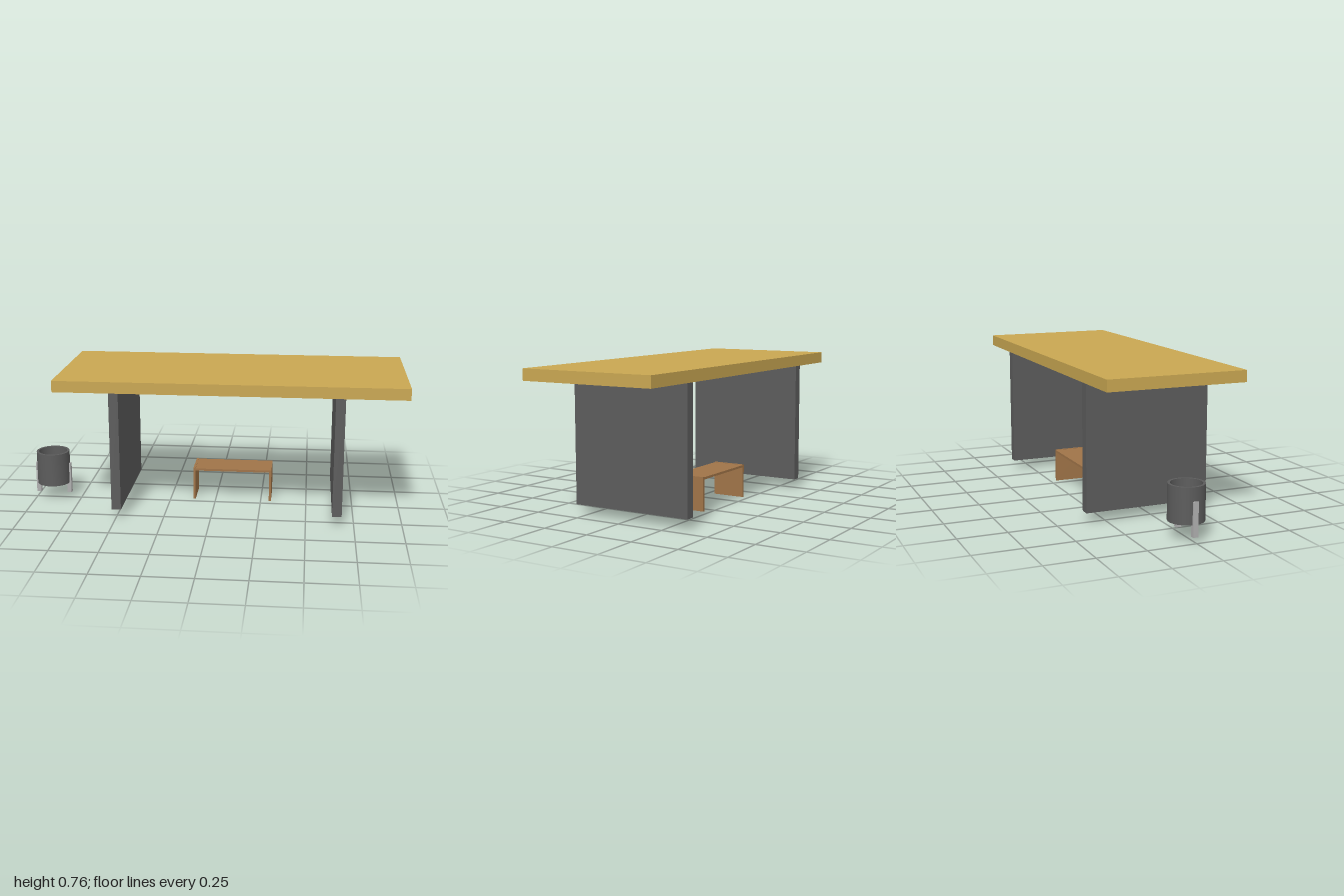
import * as THREE from 'three';
import { toCreasedNormals } from 'three/addons/utils/BufferGeometryUtils.js';

const material = (color) => new THREE.MeshStandardMaterial({ color });

// Box given by its extents along each axis
function box(name, mat, [x0, x1], [y0, y1], [z0, z1]) {
  const mesh = new THREE.Mesh(new THREE.BoxGeometry(x1 - x0, y1 - y0, z1 - z0), mat);
  mesh.position.set((x0 + x1) / 2, (y0 + y1) / 2, (z0 + z1) / 2);
  mesh.name = name;
  return mesh;
}

export function createModel() {
  const model = new THREE.Group();
  model.name = 'deskSet';
  const wood = material(0xc9a752);
  const darkGrey = material(0x5c5c5c);
  const brown = material(0xa07448);
  const lightGrey = material(0xb0b0b0);

  // Desk: thick top on two slab supports
  const desk = new THREE.Group();
  desk.name = 'desk';
  desk.add(box('deskTop', wood, [-0.797, 1], [0.698, 0.757], [-0.363, 0.363]));
  for (const [name, x] of [['rightSupport', -0.495], ['leftSupport', 0.661]]) {
    desk.add(box(name, darkGrey, [x - 0.025, x + 0.025], [0.052, 0.698], [-0.355, 0.302]));
  }

  // Footrest: thin board between two side panels
  const footrest = new THREE.Group();
  footrest.name = 'footrest';
  const depth = [-0.215, -0.039];
  footrest.add(
    box('footrestBoard', brown, [-0.112, 0.295], [0.165, 0.177], depth),
    box('footrestRightSide', brown, [-0.124, -0.112], [0, 0.179], depth),
    box('footrestLeftSide', brown, [0.295, 0.307], [0, 0.179], depth),
  );

  // Waste bin: open round tub with two small legs set into its wall
  const bin = new THREE.Group();
  bin.name = 'wasteBin';
  bin.position.set(-0.902, 0, -0.007);
  const profile = [[0, 0.088], [0.09, 0.088], [0.09, 0.268], [0.077, 0.268], [0.077, 0.1], [0, 0.1]]
    .map(([r, y]) => new THREE.Vector2(r, y));
  const tub = new THREE.Mesh(toCreasedNormals(new THREE.LatheGeometry(profile, 40), 0.7), darkGrey);
  tub.name = 'binTub';
  bin.add(tub);
  for (const [name, x] of [['binRightLeg', -0.086], ['binLeftLeg', 0.086]]) {
    bin.add(box(name, lightGrey, [x - 0.012, x + 0.012], [0.03, 0.2], [-0.012, 0.014]));
  }

  model.add(desk, footrest, bin);
  return model;
}
